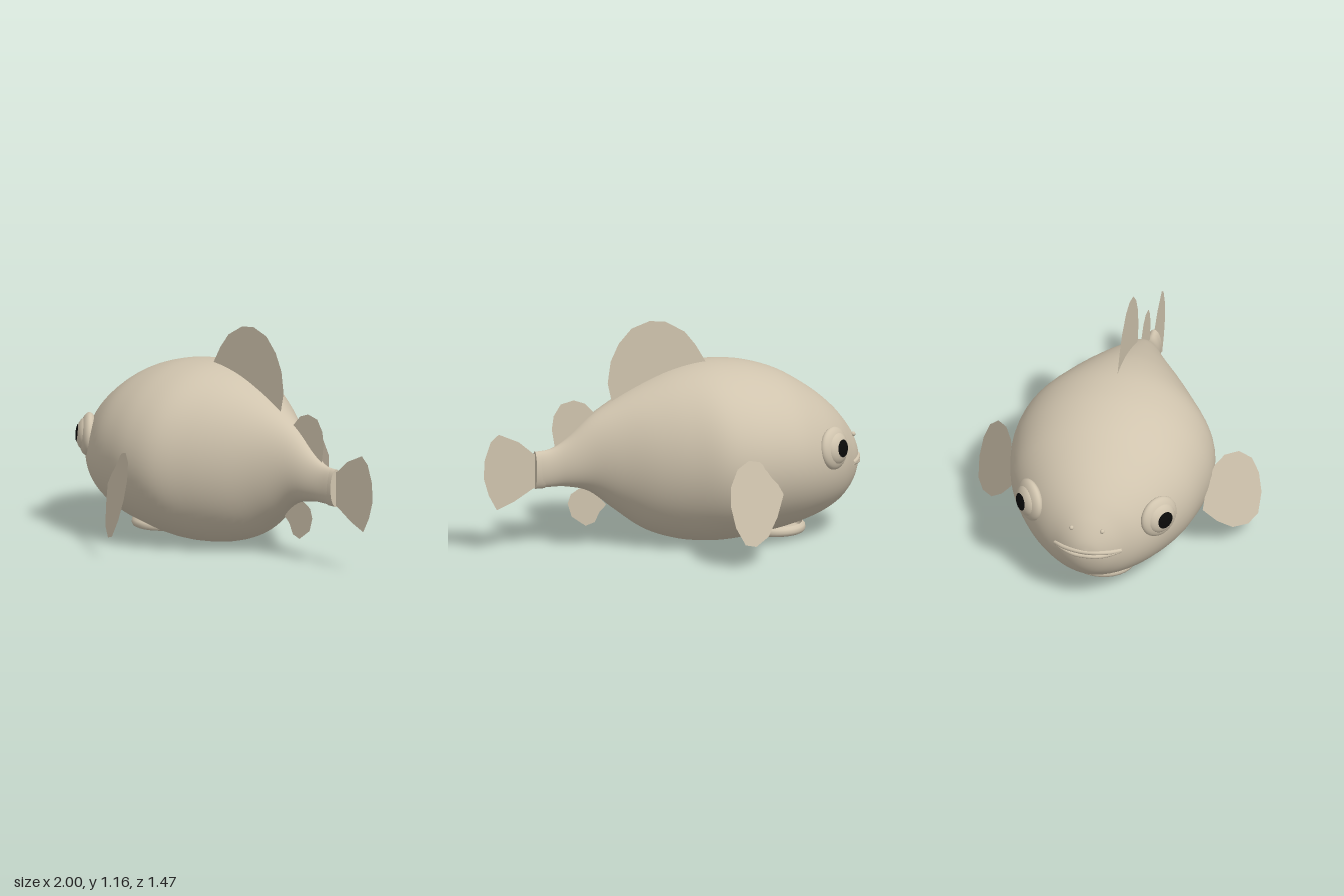
import * as THREE from 'three';
import { mergeVertices } from 'three/addons/utils/BufferGeometryUtils.js';

const skin = new THREE.MeshStandardMaterial({ color: 0xd0c4ae, side: THREE.DoubleSide });
skin.name = 'skin';
const black = new THREE.MeshStandardMaterial({ color: 0x0a0a0a });
black.name = 'pupilBlack';

function mesh(name, geometry, material = skin) {
  const m = new THREE.Mesh(geometry, material);
  m.name = name;
  return m;
}

// Body stations: x, top y, bottom y, half width
const STATIONS = [
  [-0.995, 0.39, 0.39, 0], [-0.985, 0.445, 0.32, 0.06], [-0.96, 0.505, 0.255, 0.115],
  [-0.92, 0.57, 0.2, 0.175], [-0.85, 0.655, 0.145, 0.27], [-0.74, 0.75, 0.095, 0.37],
  [-0.58, 0.85, 0.052, 0.465], [-0.42, 0.905, 0.025, 0.508], [-0.28, 0.925, 0.006, 0.52],
  [-0.14, 0.922, 0.005, 0.495], [0.01, 0.89, 0.027, 0.405], [0.16, 0.832, 0.085, 0.305],
  [0.31, 0.758, 0.195, 0.195], [0.44, 0.68, 0.295, 0.115], [0.56, 0.578, 0.328, 0.068],
  [0.64, 0.532, 0.332, 0.046], [0.72, 0.52, 0.33, 0.037],
];

// Elliptical cross-sections lofted from nose to tail root
function bodyGeometry() {
  const spline = (pick) => new THREE.CatmullRomCurve3(STATIONS.map(pick), false, 'catmullrom');
  const heights = spline(([x, t, b]) => new THREE.Vector3(x, t, b));
  const widths = spline(([x, , , w]) => new THREE.Vector3(x, w, 0));
  const rings = 80, sides = 64, pos = [], index = [];
  for (let i = 0; i <= rings; i++) {
    const h = heights.getPoint(i / rings), w = widths.getPoint(i / rings).y;
    for (let j = 0; j < sides; j++) {
      const a = (j / sides) * Math.PI * 2;
      pos.push(h.x, (h.y + h.z) / 2 + ((h.y - h.z) / 2) * Math.cos(a), w * Math.sin(a));
      if (i === rings) continue;
      const k = (j + 1) % sides;
      const A = i * sides + j, B = A + sides, C = i * sides + k, D = C + sides;
      if (i > 0) index.push(A, C, B);
      index.push(C, D, B);
    }
  }
  const g = new THREE.BufferGeometry();
  g.setAttribute('position', new THREE.Float32BufferAttribute(pos, 3));
  g.setIndex(index);
  const merged = mergeVertices(g, 1e-5);
  merged.computeVertexNormals();
  return merged;
}

// Flat fin from an outline in x, y; depth(x, y) gives its z
function fin(name, outline, depth = () => 0) {
  const g = new THREE.ShapeGeometry(new THREE.Shape(outline.map(([x, y]) => new THREE.Vector2(x, y))));
  const p = g.attributes.position;
  for (let i = 0; i < p.count; i++) p.setZ(i, depth(p.getX(i), p.getY(i)));
  g.computeVertexNormals();
  return mesh(name, g);
}

const DORSAL = [[-0.2, 0.9], [-0.187, 0.925], [-0.134, 1.016], [-0.075, 1.09], [0.027, 1.15], [0.112, 1.16],
  [0.209, 1.128], [0.278, 1.053], [0.321, 0.963], [0.337, 0.85], [0.316, 0.755], [0.27, 0.7]];
const REAR_DORSAL = [[0.4, 0.69], [0.46, 0.754], [0.519, 0.775], [0.588, 0.759], [0.626, 0.7], [0.636, 0.631],
  [0.62, 0.535], [0.5, 0.5]];
const ANAL = [[0.345, 0.214], [0.38, 0.181], [0.406, 0.128], [0.455, 0.112], [0.53, 0.166], [0.551, 0.235],
  [0.535, 0.283], [0.49, 0.31], [0.42, 0.32], [0.385, 0.26]];
const TAIL = [[0.66, 0.5], [0.735, 0.512], [0.813, 0.578], [0.92, 0.626], [0.963, 0.588], [0.995, 0.497],
  [1, 0.401], [0.973, 0.31], [0.93, 0.23], [0.84, 0.267], [0.735, 0.33], [0.66, 0.35]];
const PECTORAL = [[-0.444, 0.326], [-0.401, 0.401], [-0.337, 0.471], [-0.325, 0.495], [-0.305, 0.513],
  [-0.235, 0.535], [-0.155, 0.508], [-0.102, 0.433], [-0.091, 0.337], [-0.112, 0.23], [-0.166, 0.134],
  [-0.235, 0.112], [-0.321, 0.144], [-0.39, 0.225]];

function eye(side) {
  const g = new THREE.Group();
  g.name = side > 0 ? 'leftEye' : 'rightEye';
  const socket = mesh('eyeRim', new THREE.SphereGeometry(1, 36, 20));
  socket.scale.set(0.11, 0.11, 0.044);
  const ball = mesh('eyeball', new THREE.SphereGeometry(1, 36, 20));
  ball.scale.set(0.084, 0.084, 0.046);
  ball.position.z = 0.014;
  const pupil = mesh('pupil', new THREE.SphereGeometry(1, 28, 6, 0, Math.PI * 2, 0, 0.55).rotateX(Math.PI / 2), black);
  pupil.scale.set(0.087, 0.087, 0.049);
  pupil.position.z = 0.014;
  g.add(socket, ball, pupil);
  g.position.set(-0.765, 0.505, 0.335 * side);
  const outward = new THREE.Vector3(-0.64, 0.1, 0.76 * side).normalize();
  g.quaternion.setFromUnitVectors(new THREE.Vector3(0, 0, 1), outward);
  return g;
}

// Lip curving round the snout, meeting the other lip at the corners
function lip(name, y) {
  const corner = 0.376;
  const path = new THREE.CatmullRomCurve3([
    new THREE.Vector3(-0.92, corner, -0.17), new THREE.Vector3(-0.955, (y + corner) / 2, -0.125),
    new THREE.Vector3(-0.982, y, -0.06), new THREE.Vector3(-0.988, y, 0), new THREE.Vector3(-0.982, y, 0.06),
    new THREE.Vector3(-0.955, (y + corner) / 2, 0.125), new THREE.Vector3(-0.92, corner, 0.17),
  ]);
  return mesh(name, new THREE.TubeGeometry(path, 40, 0.012, 12));
}

export function createModel() {
  const model = new THREE.Group();
  model.name = 'fish';
  model.add(mesh('body', bodyGeometry()));

  // Collar at the tail root
  const collar = mesh('tailCollar', new THREE.CylinderGeometry(1, 1, 1, 32).rotateZ(Math.PI / 2));
  collar.scale.set(0.05, 0.098, 0.039);
  collar.position.set(0.702, 0.425, 0);
  model.add(collar);

  // Fins on the centre line
  model.add(fin('dorsalFin', DORSAL), fin('rearDorsalFin', REAR_DORSAL), fin('analFin', ANAL), fin('tailFin', TAIL));

  // Paired parts
  for (const side of [1, -1]) {
    const slant = (x, y) => side * (0.624 + 0.63 * (x + 0.235) - 0.29 * (y - 0.34));
    model.add(fin(side > 0 ? 'leftPectoralFin' : 'rightPectoralFin', PECTORAL, slant));
    model.add(eye(side));
    const nostril = mesh('nostril', new THREE.SphereGeometry(0.012, 12, 8));
    nostril.position.set(-0.951, 0.505, 0.08 * side);
    model.add(nostril);
  }

  // Mouth
  model.add(lip('upperLip', 0.388), lip('lowerLip', 0.364));

  // Sucker disc under the belly
  const profile = [[0, 0.034], [0.82, 0.03], [0.85, 0.018], [0.9, 0.013], [0.96, 0.018], [1, 0.032], [0.98, 0.05], [0.88, 0.062]];
  const sucker = mesh('bellySucker', new THREE.LatheGeometry(profile.map(([r, y]) => new THREE.Vector2(r, y)), 48));
  sucker.scale.set(0.158, 1, 0.172);
  sucker.position.x = -0.555;
  model.add(sucker);

  return model;
}
